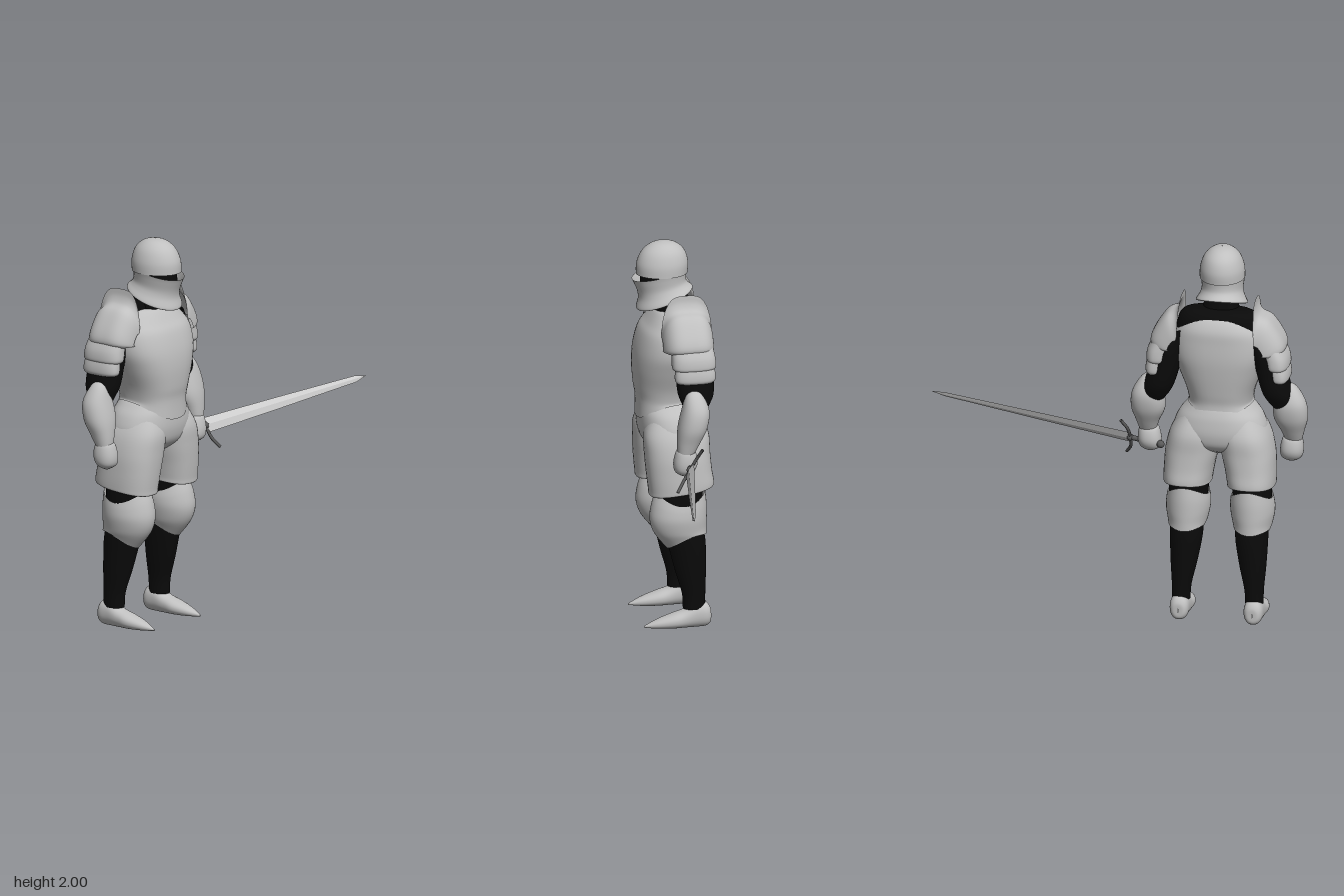
import * as THREE from 'three';

const mat = (name, color) => {
  const m = new THREE.MeshStandardMaterial({ color, side: THREE.DoubleSide });
  m.name = name;
  return m;
};

// Skin through rings listed top to bottom:
// [yBack, yFront, xBack, xFront, halfWidth, zCentre, wave]; n squares the outline.
function loft(rings, { n = 2.2, seg = 40, steps = 5 } = {}) {
  const full = rings.map(r => [0, 1, 2, 3, 4, 5, 6].map(k => r[k] ?? 0));
  const rows = [];
  const at = i => full[Math.min(Math.max(i, 0), full.length - 1)];
  for (let i = 0; i < full.length - 1; i++) {
    for (let s = 0; s < steps; s++) {
      const t = s / steps;
      rows.push(full[i].map((p1, k) => {
        const p0 = at(i - 1)[k], p2 = at(i + 1)[k], p3 = at(i + 2)[k];
        return p1 + 0.5 * t * (p2 - p0 + t * (2 * p0 - 5 * p1 + 4 * p2 - p3 + t * (3 * (p1 - p2) + p3 - p0)));
      }));
    }
  }
  rows.push(full[full.length - 1]);
  const grid = rows.map(([yb, yf, xb, xf, hw, zc, wave]) => Array.from({ length: seg }, (_, j) => {
    const a = j / seg * Math.PI * 2, c = Math.cos(a), d = Math.sin(a);
    const e = v => Math.sign(v) * Math.abs(v) ** (2 / n);
    return [(xb + xf) / 2 + (xf - xb) / 2 * e(c),
      (yb + yf) / 2 + (yf - yb) / 2 * c + wave * Math.cos(2 * a), zc + hw * e(d)];
  }));
  return gridGeometry(grid, true);
}

// Surface over rows of points, optionally wrapped around
function gridGeometry(grid, wrap) {
  const m = grid[0].length, index = [];
  for (let i = 0; i < grid.length - 1; i++) {
    for (let j = 0; j < (wrap ? m : m - 1); j++) {
      const a = i * m + j, b = i * m + (j + 1) % m;
      index.push(a, b, a + m, b, b + m, a + m);
    }
  }
  const g = new THREE.BufferGeometry();
  g.setAttribute('position', new THREE.Float32BufferAttribute(grid.flat(2), 3));
  g.setIndex(index);
  g.computeVertexNormals();
  return g;
}

// Shoulder shell: a profile in z and y swept along x, pulled inward at both ends
function shoulderShell(s) {
  const profile = new THREE.CatmullRomCurve3([
    [0.19, 1.76], [0.195, 1.72], [0.215, 1.685], [0.26, 1.665], [0.305, 1.61],
    [0.342, 1.54], [0.345, 1.505], [0.325, 1.485]
  ].map(([z, y]) => new THREE.Vector3(0, y, z))).getPoints(28);
  const grid = profile.map(p => Array.from({ length: 33 }, (_, j) => {
    const t = Math.sin((j / 32 - 0.5) * Math.PI);
    const f = 0.3 + 0.7 * (1 - Math.abs(t) ** 3.5) ** 0.6;
    return [-0.052 + 0.13 * t, 1.49 + (p.y - 1.49) * f, s * (0.2 + (p.z - 0.2) * f)];
  }));
  return gridGeometry(grid, false);
}

export function createModel() {
  const armor = mat('steel armor', 0xc0c0c0);
  const cloth = mat('black undersuit', 0x0a0a0a);
  const bladeSteel = mat('blade steel', 0xcccccc);
  const hiltMetal = mat('dark hilt', 0x5a5a5a);
  const model = new THREE.Group();
  const knight = new THREE.Group();
  knight.name = 'knight';
  knight.position.z = 0.54;
  model.add(knight);
  const add = (name, geometry, material, parent = knight) => {
    const mesh = new THREE.Mesh(geometry, material);
    mesh.name = name;
    parent.add(mesh);
    return mesh;
  };

  // Helmet: skull, dark eye slit, flared visor
  add('helmetSkull', loft([
    [2, 2, 0.024, 0.026, 0.001], [1.988, 1.988, -0.035, 0.085, 0.05], [1.95, 1.95, -0.08, 0.135, 0.09],
    [1.89, 1.89, -0.1, 0.163, 0.112], [1.832, 1.832, -0.097, 0.166, 0.115]
  ], { n: 2 }), armor);
  add('eyeSlit', loft([
    [1.87, 1.87, -0.08, 0.14, 0.095], [1.78, 1.78, -0.08, 0.145, 0.095]
  ], { n: 2 }), cloth);
  add('visor', loft([
    [1.87, 1.805, -0.097, 0.188, 0.113], [1.83, 1.785, -0.09, 0.178, 0.108], [1.795, 1.74, -0.09, 0.16, 0.105],
    [1.775, 1.7, -0.1, 0.155, 0.114], [1.755, 1.65, -0.123, 0.165, 0.132], [1.745, 1.645, -0.11, 0.15, 0.12]
  ], { n: 2 }), armor);

  // Undersuit at neck and shoulders
  add('neck', loft([[1.8, 1.76, -0.06, 0.1, 0.08], [1.6, 1.6, -0.09, 0.06, 0.1]]), cloth);
  add('shoulderYoke', loft([
    [1.69, 1.685, -0.06, 0, 0.08], [1.68, 1.675, -0.12, 0.03, 0.18], [1.6, 1.6, -0.15, 0.04, 0.215],
    [1.4, 1.4, -0.14, 0.03, 0.215]
  ]), cloth);

  // Breastplate with pointed lower edge
  add('breastplate', loft([
    [1.665, 1.645, -0.1, 0.05, 0.1], [1.655, 1.635, -0.14, 0.075, 0.155], [1.6, 1.58, -0.172, 0.115, 0.21],
    [1.53, 1.53, -0.178, 0.148, 0.24], [1.44, 1.44, -0.18, 0.174, 0.243], [1.35, 1.35, -0.172, 0.183, 0.215],
    [1.25, 1.25, -0.158, 0.178, 0.177], [1.19, 1.18, -0.148, 0.168, 0.163], [1.17, 1.11, -0.152, 0.168, 0.168, 0, -0.03]
  ], { n: 2.4 }), armor);

  // Hips
  add('hipArmor', loft([
    [1.19, 1.17, -0.135, 0.14, 0.14], [1.15, 1.15, -0.155, 0.15, 0.172], [1.1, 1.1, -0.17, 0.157, 0.215],
    [1.02, 1.02, -0.176, 0.155, 0.24], [0.95, 0.95, -0.15, 0.13, 0.2], [0.89, 0.89, -0.05, 0.05, 0.05]
  ], { n: 2.3 }), armor);

  for (const s of [1, -1]) {
    const side = s > 0 ? 'left' : 'right';
    const limb = new THREE.Group();
    limb.name = side + 'Limbs';
    knight.add(limb);
    // Mirrors the ring centres to this side
    const part = (name, rings, material, opt) =>
      add(side + name, loft(rings.map(r => r.map((v, k) => k === 5 ? v * s : v)), opt), material, limb);

    // Flared thigh armor
    part('ThighArmor', [
      [1.12, 1.12, -0.13, 0.11, 0.08, 0.11], [1.02, 1.02, -0.176, 0.152, 0.125, 0.125],
      [0.92, 0.92, -0.181, 0.153, 0.135, 0.142], [0.83, 0.82, -0.188, 0.146, 0.128, 0.156],
      [0.77, 0.735, -0.197, 0.137, 0.122, 0.163], [0.75, 0.705, -0.192, 0.132, 0.117, 0.163],
      [0.755, 0.715, -0.16, 0.1, 0.09, 0.163]
    ], armor, { n: 2.4 });

    // Leg undersuit and knee plate
    part('LegUndersuit', [
      [0.82, 0.82, -0.14, 0.09, 0.095, 0.163], [0.68, 0.68, -0.14, 0.1, 0.1, 0.163],
      [0.55, 0.55, -0.14, 0.06, 0.085, 0.167], [0.44, 0.44, -0.155, 0.038, 0.083, 0.168],
      [0.3, 0.3, -0.155, 0.004, 0.068, 0.177], [0.18, 0.18, -0.15, -0.03, 0.05, 0.186],
      [0.1, 0.1, -0.15, -0.035, 0.046, 0.188]
    ], cloth, { n: 2 });
    part('KneePlate', [
      [0.695, 0.69, -0.153, 0.1, 0.106, 0.163, 0.03], [0.64, 0.64, -0.16, 0.122, 0.112, 0.164, 0.015],
      [0.58, 0.575, -0.161, 0.132, 0.112, 0.166], [0.53, 0.5, -0.16, 0.108, 0.1, 0.167],
      [0.508, 0.438, -0.16, 0.045, 0.09, 0.168, -0.0175]
    ], armor, { n: 2 });

    // Pointed shoe, lofted upright from toe to heel and laid along x
    const shoe = [
      [0.167, 0.018, 0.01, 0.002], [0.1, 0.048, 0.003, 0.034], [0.02, 0.075, 0, 0.054], [-0.04, 0.095, 0, 0.052],
      [-0.1, 0.13, 0, 0.05], [-0.15, 0.128, 0.003, 0.047], [-0.174, 0.1, 0.02, 0.03], [-0.177, 0.07, 0.05, 0.002]
    ].map(([x, top, bottom, hw]) => [x, x, -top, -bottom, hw, 0.19]);
    part('Shoe', shoe, armor).rotation.z = -Math.PI / 2;

    // Pauldron and its overlapping lames
    add(side + 'Pauldron', shoulderShell(s), armor, limb);
    part('UpperLame', [
      [1.53, 1.53, -0.165, 0.045, 0.06, 0.27], [1.47, 1.47, -0.176, 0.046, 0.062, 0.298],
      [1.42, 1.42, -0.178, 0.046, 0.06, 0.307], [1.405, 1.405, -0.165, 0.035, 0.05, 0.307]
    ], armor, { n: 2.5 });
    part('LowerLame', [
      [1.44, 1.44, -0.165, 0.03, 0.05, 0.305], [1.39, 1.39, -0.173, 0.034, 0.05, 0.318],
      [1.355, 1.355, -0.173, 0.034, 0.048, 0.322], [1.34, 1.34, -0.16, 0.022, 0.04, 0.322]
    ], armor, { n: 2.5 });

    // Sleeve, forearm guard and fist
    part('Sleeve', [
      [1.58, 1.58, -0.13, 0.02, 0.06, 0.22], [1.48, 1.48, -0.165, 0.025, 0.075, 0.255],
      [1.38, 1.38, -0.17, 0.02, 0.078, 0.275], [1.28, 1.28, -0.168, 0.015, 0.076, 0.3],
      [1.22, 1.22, -0.14, -0.005, 0.065, 0.318], [1.16, 1.16, -0.1, -0.02, 0.04, 0.34]
    ], cloth);
    part('ForearmGuard', [
      [1.315, 1.315, -0.06, -0.05, 0.004, 0.35], [1.29, 1.285, -0.095, -0.015, 0.04, 0.36],
      [1.21, 1.21, -0.13, 0.008, 0.08, 0.366], [1.12, 1.12, -0.12, 0.028, 0.087, 0.367],
      [1.04, 1.04, -0.082, 0.034, 0.06, 0.373], [0.98, 0.98, -0.05, 0.033, 0.042, 0.375]
    ], armor);
    part('Fist', [
      [1.012, 1.012, -0.03, 0.02, 0.03, 0.37], [0.99, 0.99, -0.06, 0.04, 0.05, 0.369],
      [0.93, 0.93, -0.07, 0.052, 0.06, 0.366], [0.885, 0.885, -0.05, 0.042, 0.05, 0.363],
      [0.86, 0.86, -0.01, 0.0, 0.004, 0.363]
    ], armor);
  }

  // Sword: local y runs to the tip, local x across the blade
  const sword = new THREE.Group();
  sword.name = 'sword';
  const along = new THREE.Vector3(0.207, 0.08, -1.06);
  const length = along.length();
  along.normalize();
  const across = new THREE.Vector3(-0.5, 0.86, 0).addScaledVector(along, -along.dot(new THREE.Vector3(-0.5, 0.86, 0))).normalize();
  sword.matrix.makeBasis(across, along, across.clone().cross(along)).setPosition(-0.012, 0.925, 0.074);
  sword.matrix.decompose(sword.position, sword.quaternion, sword.scale);
  model.add(sword);
  const blade = loft([[length, 0.001, 0.001], [length - 0.07, 0.017, 0.005], [0.5, 0.03, 0.007], [0, 0.04, 0.009]]
    .map(([y, w, t]) => [y, y, -w, w, t]), { n: 2, seg: 4, steps: 1 }).toNonIndexed();
  blade.computeVertexNormals();
  add('blade', blade, bladeSteel, sword);
  const guardCurve = new THREE.CatmullRomCurve3(
    [[-0.128, 0.035], [-0.07, 0.006], [0, 0], [0.07, 0.006], [0.128, 0.035]].map(([x, y]) => new THREE.Vector3(x, y, 0)));
  add('crossguard', new THREE.TubeGeometry(guardCurve, 32, 0.008, 8), hiltMetal, sword);
  add('guardBlock', new THREE.SphereGeometry(0.018, 16, 12), hiltMetal, sword);
  add('grip', new THREE.CylinderGeometry(0.013, 0.013, 0.17, 14).translate(0, -0.085, 0), hiltMetal, sword);
  add('pommel', new THREE.SphereGeometry(0.02, 16, 12).translate(0, -0.165, 0), hiltMetal, sword);
  return model;
}
